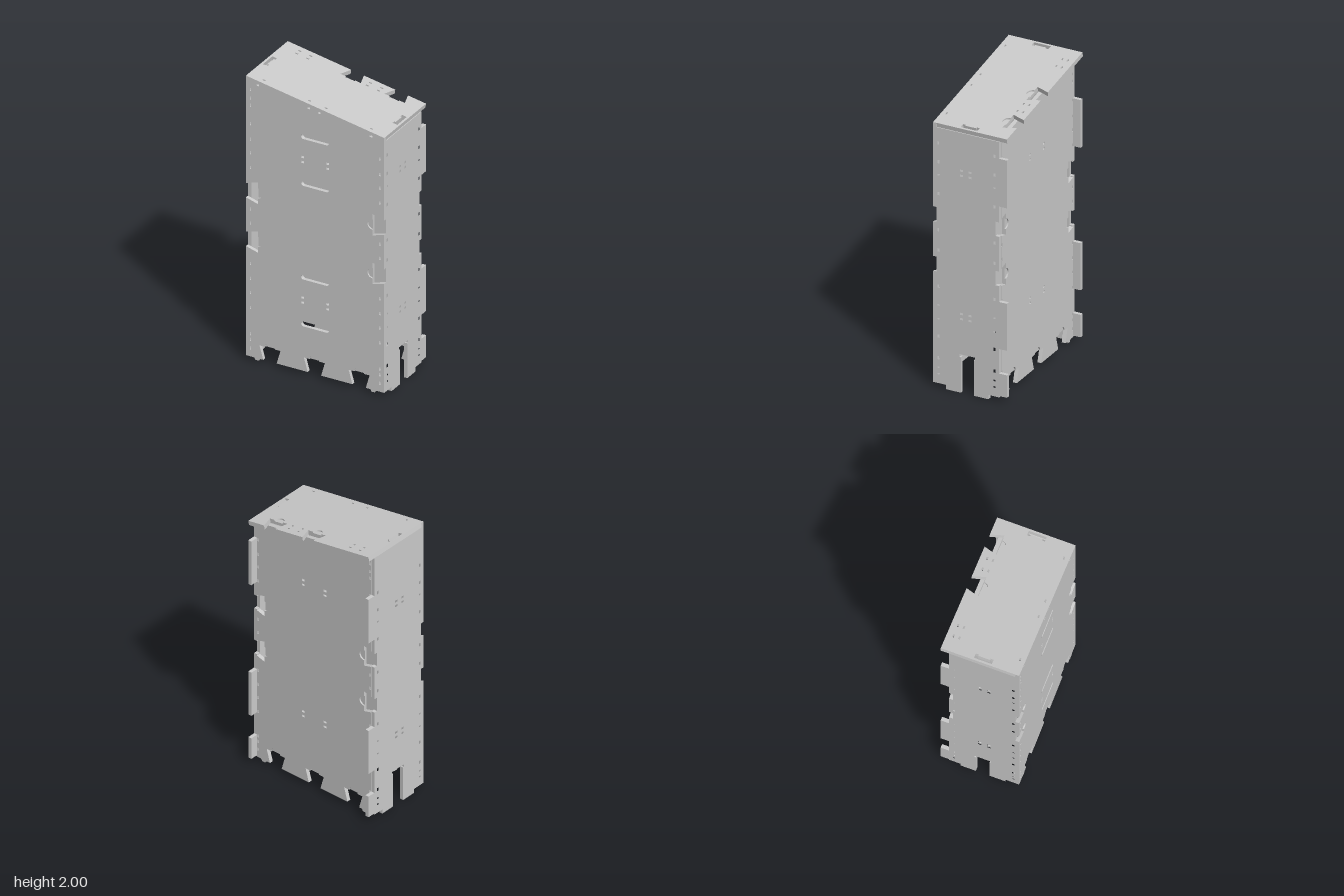
import * as THREE from 'three';

const T = 0.025;                       // sheet thickness
const W = 0.495;                       // half width
const SLOPE = 0.174;                   // tilt of the lid
const topY = (x) => 1.913 - x * Math.tan(SLOPE);
const material = new THREE.MeshStandardMaterial({ color: 0xcccccc, flatShading: true });

// dovetail notch in an edge: u runs along the edge, v points into the sheet;
// the recessed version adds a half-round finger relief at its base
function notch(cx, cy, angle, mouth, base, depth, recessed) {
  const pts = [[-mouth, 0], [-base, depth]];
  if (recessed) {
    for (let i = 0; i <= 12; i++) {
      const a = Math.PI * (1 - i / 12);
      pts.push([0.035 * Math.cos(a), depth + 0.035 * Math.sin(a)]);
    }
  }
  pts.push([base, depth], [mouth, 0]);
  const c = Math.round(Math.cos(angle)), s = Math.round(Math.sin(angle));
  return pts.map(([u, v]) => [cx + u * c - v * s, cy + u * s + v * c]);
}

const rect = (x, y, w, h) => [
  [x - w / 2, y - h / 2], [x - w / 2, y + h / 2], [x + w / 2, y + h / 2], [x + w / 2, y - h / 2]];

// long slot with rounded ends
function roundSlot(x, y, w, h) {
  const pts = [];
  for (const side of [1, -1]) {
    for (let i = 0; i <= 8; i++) {
      const a = side * Math.PI / 2 - Math.PI * i / 8;
      pts.push([x + side * (w - h) / 2 + h / 2 * Math.cos(a), y + h / 2 * Math.sin(a)]);
    }
  }
  return pts;
}

function sheet(outline, holes, z0, z1) {
  const vec = (pts) => pts.map(([x, y]) => new THREE.Vector2(x, y));
  const shape = new THREE.Shape(vec(outline));
  shape.holes = holes.map((h) => new THREE.Path(vec(h)));
  return new THREE.ExtrudeGeometry(shape, { depth: z1 - z0, bevelEnabled: false }).translate(0, 0, z0);
}

function add(parent, name, geometry) {
  const mesh = new THREE.Mesh(geometry, material);
  mesh.name = name;
  parent.add(mesh);
  return mesh;
}

// outline shared by the front and back panels
function panelOutline(w, drop, recessed) {
  const depth = w - 0.41, mouth = 0.075 - depth * 0.28;
  const bump = (x) => [[x - 0.02, 0.03], [x - 0.012, 0.015], [x + 0.012, 0.015], [x + 0.02, 0.03]];
  const pts = [[-w, 0.03], ...bump(-0.415)];
  for (const x of [-0.323, -0.005, 0.315]) pts.push(...notch(x, 0.03, 0, 0.048, 0.075, 0.095, recessed));
  pts.push(...bump(0.415), [w, 0.03]);
  for (const y of [0.85, 1.193]) pts.push(...notch(w, y, Math.PI / 2, mouth, 0.075, depth, recessed));
  pts.push([w, topY(w) - drop], [-w, topY(-w) - drop]);
  for (const y of [1.193, 0.85]) pts.push(...notch(-w, y, -Math.PI / 2, mouth, 0.075, depth, recessed));
  return pts;
}

// holes shared by the front and back panels
function panelHoles() {
  const holes = [];
  for (const x of [-0.09, 0.09]) {
    for (const y of [0.51, 0.545, 1.5, 1.535]) holes.push(rect(x, y, 0.022, 0.014));
  }
  for (const y of [0.09, 0.15, 0.19, 0.375, 0.48, 0.58, 0.685, 0.97, 1.07, 1.36, 1.465, 1.56, 1.67]) {
    for (const x of [-0.462, 0.462]) holes.push(rect(x, y, 0.01, 0.022));
  }
  for (const y of [1.8, 1.85, 1.91]) holes.push(rect(-0.462, y, 0.01, 0.022));
  return holes;
}

function sidePanel(top) {
  const zb = -0.205;
  const outline = [
    [0.235, top], [0.235, 0.03], [0.168, 0.03], [0.168, 0], [0.065, 0],
    [0.065, 0.245], [0.075, 0.245], [0.075, 0.265], [-0.037, 0.265], [-0.037, 0.245], [-0.027, 0.245],
    [-0.027, 0], [-0.13, 0], [-0.13, 0.03]];
  // rear tabs and the cut-outs beside the back panel's dovetails
  const steps = [
    [0.04, 0.195, -0.26], [0.365, 0.69, -0.26], [0.8, 0.9, -0.18], [1.14, 1.24, -0.18], [1.35, 1.68, -0.26]];
  outline.push([zb, 0.03]);
  for (const [y0, y1, z] of steps) outline.push([zb, y0], [z, y0], [z, y1], [zb, y1]);
  outline.push([zb, top]);
  const holes = [];
  for (const z of [0.222, -0.172]) {
    for (const y of [0.205, 0.355, 0.7, 0.95, 1.09, 1.34, 1.56, 1.69]) holes.push(rect(z, y, 0.016, 0.022));
    for (const y of [0.095, 0.14, 0.475, 0.57, 1.47]) holes.push(rect(z, y, 0.012, 0.01));
  }
  for (const z of [0, 0.06]) {
    for (const y of [0.51, 0.545, 1.5, 1.535]) holes.push(rect(z, y, 0.022, 0.014));
  }
  return sheet(outline, holes, 0, T).rotateY(-Math.PI / 2);
}

function lidOutline(recessed) {
  const w = W / Math.cos(SLOPE);
  const pts = [[-w, -0.26]];
  for (const x of [0.005, 0.325]) pts.push(...notch(x, -0.26, 0, 0.046, 0.074, 0.087, recessed));
  pts.push([w, -0.26], [w, 0.235], [-w, 0.235]);
  return pts;
}

function lidHoles() {
  const holes = [];
  for (const x of [-0.39, -0.06, 0.06, 0.39]) holes.push(rect(x, 0.225, 0.02, 0.01));
  for (const x of [-0.39, -0.31, 0.124, 0.206]) {
    for (const z of [-0.216, -0.177]) holes.push(rect(x, z, 0.02, 0.011));
  }
  // C-shaped slots at both ends
  for (const s of [-1, 1]) {
    holes.push([[0.488, -0.044], [0.455, -0.044], [0.455, -0.024], [0.465, -0.024],
      [0.465, 0.054], [0.455, 0.054], [0.455, 0.074], [0.488, 0.074]].map(([x, z]) => [s * x, z]));
  }
  return holes;
}

export function createModel() {
  const model = new THREE.Group();
  model.name = 'slopedPanelBox';

  // front panel, two layers so the finger reliefs stay shallow
  const front = new THREE.Group();
  front.name = 'frontPanel';
  const frontHoles = panelHoles();
  for (const y of [0.36, 0.69, 1.35, 1.68]) frontHoles.push(roundSlot(0, y, 0.2, 0.034));
  for (const x of [-0.41, -0.045, 0.03, 0.4]) frontHoles.push(rect(x, topY(x) - 0.03, 0.02, 0.012));
  add(front, 'frontInnerLayer', sheet(panelOutline(W, 0, false), frontHoles, 0.235, 0.25));
  add(front, 'frontOuterLayer', sheet(panelOutline(W, 0, true), frontHoles, 0.25, 0.26));
  model.add(front);

  // back panel set between the sides
  const back = new THREE.Group();
  back.name = 'backPanel';
  add(back, 'backInnerLayer', sheet(panelOutline(0.47, 0.0305, false), panelHoles(), -0.197, -0.18));
  add(back, 'backOuterLayer', sheet(panelOutline(0.47, 0.0305, true), panelHoles(), -0.207, -0.197));
  model.add(back);

  // side panels
  add(model, 'leftSidePanel', sidePanel(1.796)).position.x = W;
  add(model, 'rightSidePanel', sidePanel(1.966)).position.x = -W + T;

  // sloping lid
  const lid = new THREE.Group();
  lid.name = 'lid';
  for (const [name, recessed, d0, d1] of [['lidOuterLayer', true, 0, 0.01], ['lidInnerLayer', false, 0.01, 0.03]]) {
    add(lid, name, sheet(lidOutline(recessed), lidHoles(), d0, d1).rotateX(Math.PI / 2).rotateZ(-SLOPE));
  }
  lid.position.y = 1.913;
  model.add(lid);

  return model;
}
